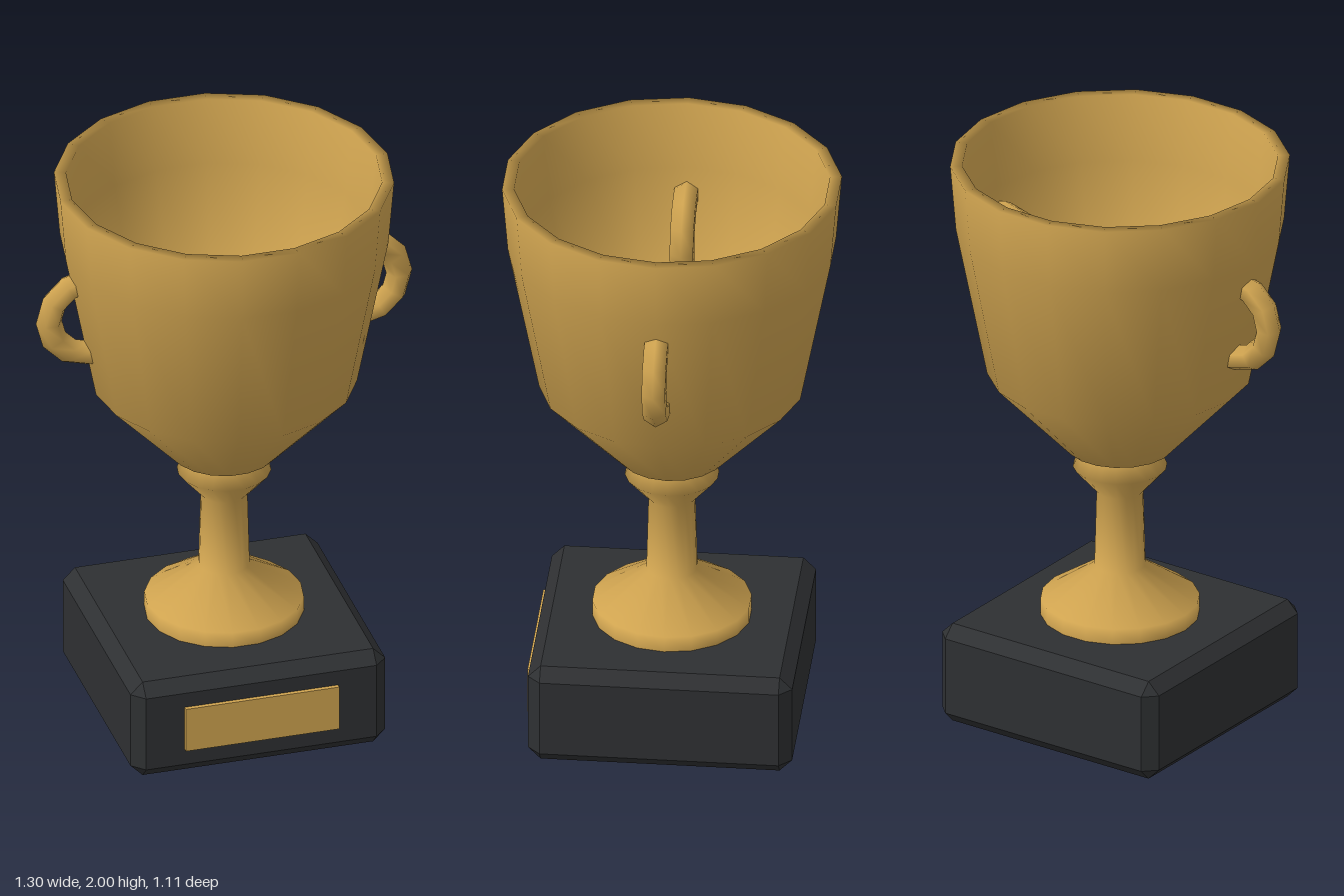
import * as THREE from 'three';
import { ConvexGeometry } from 'three/addons/geometries/ConvexGeometry.js';

const gold = new THREE.MeshStandardMaterial({ color: 0xd0a450 });
const black = new THREE.MeshStandardMaterial({ color: 0x2e3032 });

// 18-sided turned part with a corner on the x axis
function turned(name, profile) {
  const points = profile.map(([r, y]) => new THREE.Vector2(r, y));
  const mesh = new THREE.Mesh(new THREE.LatheGeometry(points, 18, Math.PI / 2), gold);
  mesh.name = name;
  return mesh;
}

// Box with every edge and corner cut by c
function chamferedBox(w, h, d, c) {
  const points = [];
  for (const sx of [-1, 1]) for (const sy of [-1, 1]) for (const sz of [-1, 1]) {
    const x = w / 2, y = h / 2, z = d / 2;
    points.push(
      new THREE.Vector3(sx * x, sy * (y - c), sz * (z - c)),
      new THREE.Vector3(sx * (x - c), sy * y, sz * (z - c)),
      new THREE.Vector3(sx * (x - c), sy * (y - c), sz * z));
  }
  return new ConvexGeometry(points);
}

export function createModel() {
  const group = new THREE.Group();
  group.name = 'trophy';

  // Plinth
  const base = new THREE.Mesh(chamferedBox(0.88, 0.355, 0.88, 0.042), black);
  base.name = 'base';
  base.position.y = 0.1775;
  group.add(base);

  // Plate on the front of the plinth
  const plaque = new THREE.Mesh(new THREE.BoxGeometry(0.53, 0.16, 0.03), gold);
  plaque.name = 'plaque';
  plaque.position.set(0, 0.18, 0.44);
  group.add(plaque);

  // Foot, stem and knob
  group.add(turned('stem', [
    [0.265, 0.355], [0.265, 0.41], [0.085, 0.53], [0.078, 0.8], [0.157, 0.89], [0.13, 0.95],
  ]));

  // Hollow bowl: outside going up, over the rim, inside going down
  group.add(turned('bowl', [
    [0, 0.95], [0.13, 0.95], [0.178, 0.96], [0.442, 1.24], [0.546, 1.77], [0.565, 2],
    [0.525, 2], [0.5, 1.77], [0.405, 1.27], [0, 1.0],
  ]));

  // Ring handles that pass through the bowl wall
  for (const side of [1, -1]) {
    const handle = new THREE.Mesh(new THREE.TorusGeometry(0.138, 0.045, 6, 12), gold);
    handle.name = side > 0 ? 'leftHandle' : 'rightHandle';
    handle.position.set(side * 0.467, 1.545, 0);
    group.add(handle);
  }
  return group;
}
